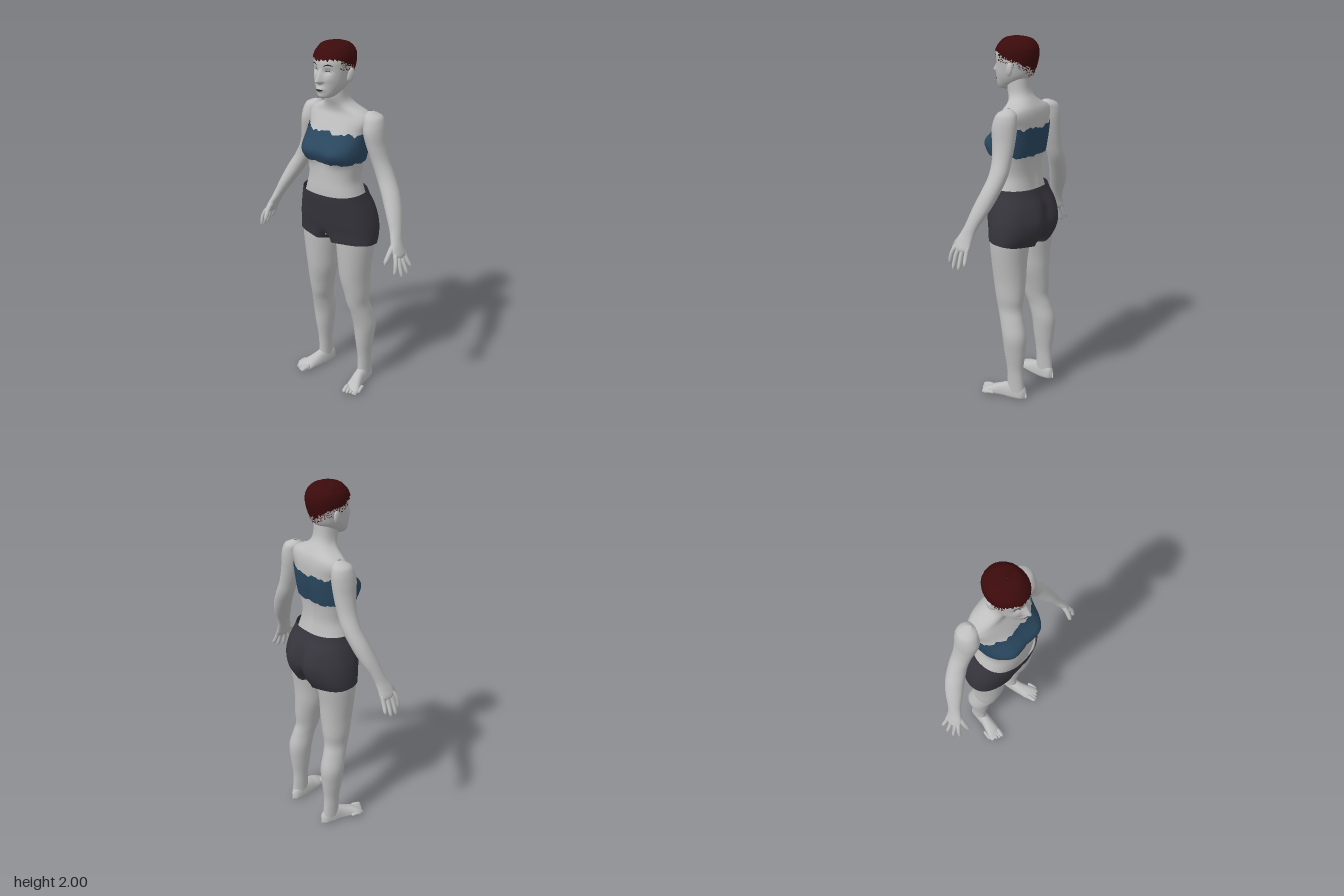
import * as THREE from 'three';
import { mergeGeometries } from 'three/addons/utils/BufferGeometryUtils.js';

const mat = (name, color) => {
  const m = new THREE.MeshStandardMaterial({ color, side: THREE.DoubleSide });
  m.name = name;
  return m;
};
const { cos, sin, abs, sign, exp, PI } = Math;
const bell = (d, w) => exp(-((d / w) ** 2));

// Smooth interpolation of table rows, keyed by their first column
function profile(rows) {
  const n = rows.length - 1;
  return (t) => {
    let i = 0;
    while (i < n - 1 && t > rows[i + 1][0]) i++;
    const a = rows[i], b = rows[i + 1], h = b[0] - a[0];
    const s = Math.min(1, Math.max(0, (t - a[0]) / h));
    const slope = (k, c) => {
      const p = rows[Math.max(0, k - 1)], q = rows[Math.min(n, k + 1)];
      return (q[c] - p[c]) / (q[0] - p[0]);
    };
    return a.slice(1).map((v, j) => {
      const c = j + 1, s2 = s * s, s3 = s2 * s;
      return (2 * s3 - 3 * s2 + 1) * v + (s3 - 2 * s2 + s) * h * slope(i, c)
        + (3 * s2 - 2 * s3) * b[c] + (s3 - s2) * h * slope(i + 1, c);
    });
  };
}

// Surface from a function of u (around) and v (upward), both 0..1
function grid(fn, nu, nv, wrap = true) {
  const pos = [], idx = [], cols = wrap ? nu : nu + 1;
  for (let j = 0; j <= nv; j++) for (let i = 0; i < cols; i++) pos.push(...fn(i / nu, j / nv));
  for (let j = 0; j < nv; j++) for (let i = 0; i < nu; i++) {
    const a = j * cols + i, b = j * cols + (i + 1) % cols;
    idx.push(a, a + cols, b, b, a + cols, b + cols);
  }
  const g = new THREE.BufferGeometry();
  g.setAttribute('position', new THREE.Float32BufferAttribute(pos, 3));
  g.setIndex(idx);
  g.computeVertexNormals();
  return g;
}

// Point on a horizontal ring: centre x, half width, front z, back z
function ring(a, y, [cx, rx, zf, zb], e = 1) {
  const mid = (zf + zb) / 2, c = cos(a), s = sin(a);
  return [cx + rx * sign(c) * abs(c) ** e, y, mid + (zf - mid) * sign(s) * abs(s) ** e];
}

// Round tapering tube with closed ends
function finger(points, r) {
  const curve = new THREE.CatmullRomCurve3(points.map((p) => new THREE.Vector3(...p)));
  const n = 10, f = curve.computeFrenetFrames(n);
  return grid((u, v) => {
    const i = Math.round(v * n), a = u * 2 * PI;
    const w = r * (1 - 0.25 * v) * Math.sqrt(Math.max(0, 1 - abs(2 * v - 1) ** 6));
    return curve.getPointAt(v).addScaledVector(f.normals[i], w * cos(a))
      .addScaledVector(f.binormals[i], -w * sin(a)).toArray();
  }, 10, n);
}

function mirrored(g) {
  const m = g.clone().scale(-1, 1, 1), ix = m.index.array;
  for (let i = 0; i < ix.length; i += 3) [ix[i], ix[i + 1]] = [ix[i + 1], ix[i]];
  m.computeVertexNormals();
  return m;
}

const torsoRows = profile([
  [0.93, 0.1, 0.02, -0.06], [0.95, 0.2, 0.1, -0.12], [1.08, 0.205, 0.125, -0.13],
  [1.15, 0.187, 0.138, -0.11], [1.22, 0.163, 0.14, -0.095], [1.28, 0.148, 0.135, -0.088],
  [1.35, 0.154, 0.13, -0.092], [1.42, 0.166, 0.125, -0.103], [1.48, 0.17, 0.112, -0.111],
  [1.55, 0.176, 0.087, -0.115], [1.6, 0.19, 0.062, -0.113], [1.635, 0.17, 0.046, -0.104],
  [1.66, 0.112, 0.048, -0.088], [1.68, 0.08, 0.055, -0.074], [1.7, 0.066, 0.064, -0.06],
  [1.73, 0.06, 0.072, -0.05], [1.8, 0.058, 0.075, -0.045]]);
function torso(a, y) {
  const p = ring(a, y, [0, ...torsoRows(y)], 0.85);
  const s = sin(a);
  if (s > 0) p[2] += 0.052 * Math.min(1, s * 2) * bell(abs(p[0]) - 0.095, 0.075) * bell(y - 1.445, 0.06);
  else p[2] += 0.012 * bell(p[0], 0.03) * bell(y - 1.36, 0.15);
  return p;
}

const headRows = profile([
  [1.72, 0.012, 0.11, 0.07], [1.728, 0.036, 0.133, 0.045], [1.745, 0.052, 0.141, 0.01],
  [1.77, 0.068, 0.142, -0.03], [1.8, 0.08, 0.143, -0.058], [1.84, 0.088, 0.142, -0.073],
  [1.88, 0.094, 0.14, -0.084], [1.91, 0.097, 0.138, -0.088], [1.94, 0.093, 0.126, -0.083],
  [1.965, 0.078, 0.106, -0.066], [1.983, 0.054, 0.08, -0.036], [1.993, 0.001, 0.028, 0.026]]);
function head(a, y) {
  const p = ring(a, y, [0, ...headRows(y)], 0.95);
  if (sin(a) > 0) {
    const x = p[0];
    const ridge = y > 1.815 ? Math.max(0, 1 - (y - 1.815) / 0.06) : bell(y - 1.815, 0.012);
    p[2] += 0.036 * ridge * bell(x, 0.009 + 0.009 * ridge);
    p[2] -= 0.012 * bell(abs(x) - 0.037, 0.02) * bell(y - 1.864, 0.014);
    p[2] += 0.013 * bell(x, 0.024) * bell(y - 1.772, 0.014) + 0.005 * bell(x, 0.02) * bell(y - 1.738, 0.014);
    p[2] += 0.004 * bell(abs(x) - 0.05, 0.02) * bell(y - 1.825, 0.02);
  }
  return p;
}
// Push a head point outward from the skull centre
const lift = (p, k) => [p[0] * k, 1.87 + (p[1] - 1.87) * k, 0.027 + (p[2] - 0.027) * k];

const shortsRows = profile([
  [0.9, 0.238, 0.118, -0.125], [0.95, 0.24, 0.125, -0.15], [1.0, 0.237, 0.132, -0.163],
  [1.05, 0.229, 0.142, -0.166], [1.12, 0.21, 0.153, -0.154], [1.18, 0.188, 0.163, -0.13],
  [1.22, 0.176, 0.166, -0.117]]);
const legRows = profile([
  [0.04, 0.149, 0.032, -0.01, -0.118], [0.11, 0.149, 0.033, -0.013, -0.112], [0.18, 0.149, 0.036, -0.01, -0.11],
  [0.28, 0.15, 0.049, 0.004, -0.122], [0.38, 0.15, 0.06, 0.015, -0.128], [0.47, 0.142, 0.056, 0.037, -0.105],
  [0.53, 0.132, 0.057, 0.056, -0.09], [0.6, 0.128, 0.068, 0.07, -0.095], [0.7, 0.118, 0.082, 0.088, -0.098],
  [0.8, 0.118, 0.092, 0.098, -0.102], [0.9, 0.118, 0.102, 0.105, -0.115], [0.97, 0.118, 0.104, 0.108, -0.125]]);
const armRows = profile([
  [0.943, 0.466, 0.004, 0.06, 0.035], [0.958, 0.461, 0.018, 0.097, 0.01], [1.0, 0.443, 0.022, 0.1, 0.006],
  [1.04, 0.425, 0.025, 0.082, 0], [1.08, 0.408, 0.03, 0.065, -0.015], [1.16, 0.37, 0.042, 0.044, -0.055],
  [1.24, 0.328, 0.05, 0.02, -0.082], [1.32, 0.281, 0.051, 0.002, -0.098], [1.4, 0.245, 0.047, 0.005, -0.101],
  [1.48, 0.222, 0.05, 0.02, -0.105], [1.55, 0.21, 0.055, 0.03, -0.108], [1.6, 0.204, 0.052, 0.02, -0.105],
  [1.635, 0.194, 0.043, 0, -0.09], [1.653, 0.18, 0.006, -0.035, -0.055]]);
// Foot rows run heel to toe: z, centre x, half width, top y
const footRows = profile([
  [-0.128, 0.142, 0.006, 0.035], [-0.115, 0.143, 0.026, 0.07], [-0.06, 0.148, 0.034, 0.105],
  [0, 0.156, 0.036, 0.085], [0.05, 0.17, 0.042, 0.058], [0.09, 0.183, 0.047, 0.04], [0.118, 0.19, 0.038, 0.024]]);

export function createModel() {
  const group = new THREE.Group();
  const skin = mat('skin', 0xbebebe), hairMat = mat('darkRedHair', 0x3c0b0c);
  const blue = mat('blueCloth', 0x2a475f), charcoal = mat('charcoalCloth', 0x37353d), dark = mat('darkFeatures', 0x2c2626);
  const add = (name, g, m) => {
    const mesh = new THREE.Mesh(g, m);
    mesh.name = name;
    group.add(mesh);
  };
  const pair = (name, g, m) => {
    add('left' + name, g, m);
    add('right' + name, mirrored(g), m);
  };
  let seed = 7;
  const rand = () => (seed = (seed * 16807) % 2147483647) / 2147483647;

  // Torso with neck, and head
  add('torso', grid((u, v) => torso(u * 2 * PI, 0.93 + 0.87 * v), 64, 80), skin);
  add('head', grid((u, v) => head(u * 2 * PI, 1.72 + 0.273 * sin(v * PI / 2)), 112, 90), skin);
  const ear = new THREE.SphereGeometry(1, 16, 12).scale(0.012, 0.036, 0.022).rotateX(-0.2).rotateY(-0.3);
  pair('Ear', ear.translate(0.091, 1.835, 0.012), skin);

  // Face details follow the head surface
  const patch = (a0, a1, low, high, k) => grid((u, v) => {
    const y0 = low(u), y1 = high(u);
    return lift(head(a0 + (a1 - a0) * u, y0 + (y1 - y0) * v), k);
  }, 16, 3, false);
  const arch = (u) => sin(u * PI);
  pair('Brow', patch(0.87, 1.38, (u) => 1.889 + 0.006 * arch(u), (u) => 1.891 + 0.01 * arch(u), 1.012), dark);
  pair('Lashes', patch(1.0, 1.35, (u) => 1.861 + 0.003 * arch(u), (u) => 1.862 + 0.006 * arch(u), 1.012), dark);
  add('mouth', patch(1.25, PI - 1.25, (u) => 1.771 - 0.006 * arch(u), (u) => 1.772 + 0.004 * arch(u), 1.012), dark);

  // Cropped hair with a ragged hairline
  const hairline = (a) => 1.873 + 0.04 * sin(a) + 0.02 * bell(abs(cos(a)) - 0.8, 0.4);
  const edge = Array.from({ length: 120 }, () => rand() * 0.016 - 0.008);
  add('hair', grid((u, v) => {
    const a = u * 2 * PI, y0 = hairline(a) + edge[Math.round(u * 120) % 120];
    return lift(head(a, y0 + (1.993 - y0) * sin(v * PI / 2)), 1.045 + rand() * 0.018);
  }, 120, 30), hairMat);
  const tufts = [];
  for (let i = 0; i < 260; i++) {
    const a = PI * (0.85 + 1.3 * rand());
    const p = lift(head(a, hairline(a) - 0.035 * rand() ** 1.5), 1.02);
    tufts.push(new THREE.TetrahedronGeometry(0.0035).rotateY(rand() * 6).translate(...p));
  }
  add('hairTufts', mergeGeometries(tufts), hairMat);

  // Strapless top with uneven hems, lying just off the torso
  const wave = (a) => 0.006 * sin(a * 9) + 0.004 * sin(a * 17 + 1) + 0.003 * sin(a * 31);
  add('bandeau', grid((u, v) => {
    const a = u * 2 * PI;
    const y0 = 1.387 + wave(a + 2) * 0.5, y1 = 1.54 + wave(a);
    const p = torso(a, y0 + (y1 - y0) * v), out = 0.009;
    const tuck = 0.025 * Math.max(0, sin(a)) * bell(p[0], 0.05) * bell(p[1] - 1.45, 0.06);
    return [p[0] + out * cos(a), p[1], p[2] + out * sin(a) + tuck];
  }, 120, 24), blue);

  // Shorts with two lobes behind and a notch between the legs
  add('shorts', grid((u, v) => {
    const a = u * 2 * PI, c = cos(a), s = sin(a);
    const low = 0.915 + 0.018 * s + 0.01 * abs(c) - 0.012 * bell(c, 0.25);
    const y = low + (1.212 - low) * v;
    const p = ring(a, y, [0, ...shortsRows(y)], 0.85), x = p[0];
    const drop = Math.max(0, 1 - (y - 0.9) / 0.12);
    if (s < 0) {
      p[2] -= 0.022 * -s * bell(abs(x) - 0.08, 0.06) * bell(y - 1.02, 0.11);
      p[2] += (0.012 * bell(y - 1.05, 0.09) + 0.1 * drop ** 2) * bell(x, 0.025);
    } else p[2] -= 0.09 * drop ** 2 * bell(x, 0.03);
    return p;
  }, 96, 32), charcoal);

  // Legs and feet
  pair('Leg', grid((u, v) => {
    const y = 0.04 + 0.93 * v;
    return ring(u * 2 * PI, y, legRows(y));
  }, 32, 60), skin);
  pair('Foot', grid((u, v) => {
    const z = 0.118 - 0.246 * v, a = u * 2 * PI, [cx, rx, top] = footRows(z);
    const h = sin(a) > 0 ? sin(a) * top * 0.72 : sin(a) * top * 0.28;
    const y = Math.max(0, Math.min(0.014, top * 0.28) + h);
    return [cx + rx * sign(cos(a)) * abs(cos(a)) ** 0.8, y, z];
  }, 28, 30).translate(0, 0.001, 0), skin);
  for (let i = 0; i < 5; i++) {
    const x = 0.158 + 0.017 * i, z = 0.152 - 0.004 * i - 0.0022 * i * i, r = i ? 0.011 : 0.016;
    pair('Toe' + (i + 1), finger([[x - 0.008, 0.022, z - 0.065], [x, 0.022, z - 0.03], [x + 0.006, r, z]], r), skin);
  }

  // Arms with palms, fingers and thumbs
  pair('Arm', grid((u, v) => {
    const y = 0.943 + 0.71 * v;
    return ring(u * 2 * PI, y, armRows(y));
  }, 32, 70), skin);
  const tips = [[0.478, 0.872, 0.122], [0.5, 0.852, 0.085], [0.506, 0.858, 0.045], [0.502, 0.885, 0.008]];
  tips.forEach(([x, y, z], i) => {
    const base = 0.088 - 0.023 * i;
    pair('Finger' + (i + 1), finger([[0.452, 0.985, base], [0.474, 0.935, (base + z) / 2 + 0.004], [x, y, z]], 0.0125), skin);
  });
  pair('Thumb', finger([[0.43, 1.03, 0.06], [0.432, 0.985, 0.105], [0.426, 0.925, 0.142]], 0.0155), skin);
  return group;
}
